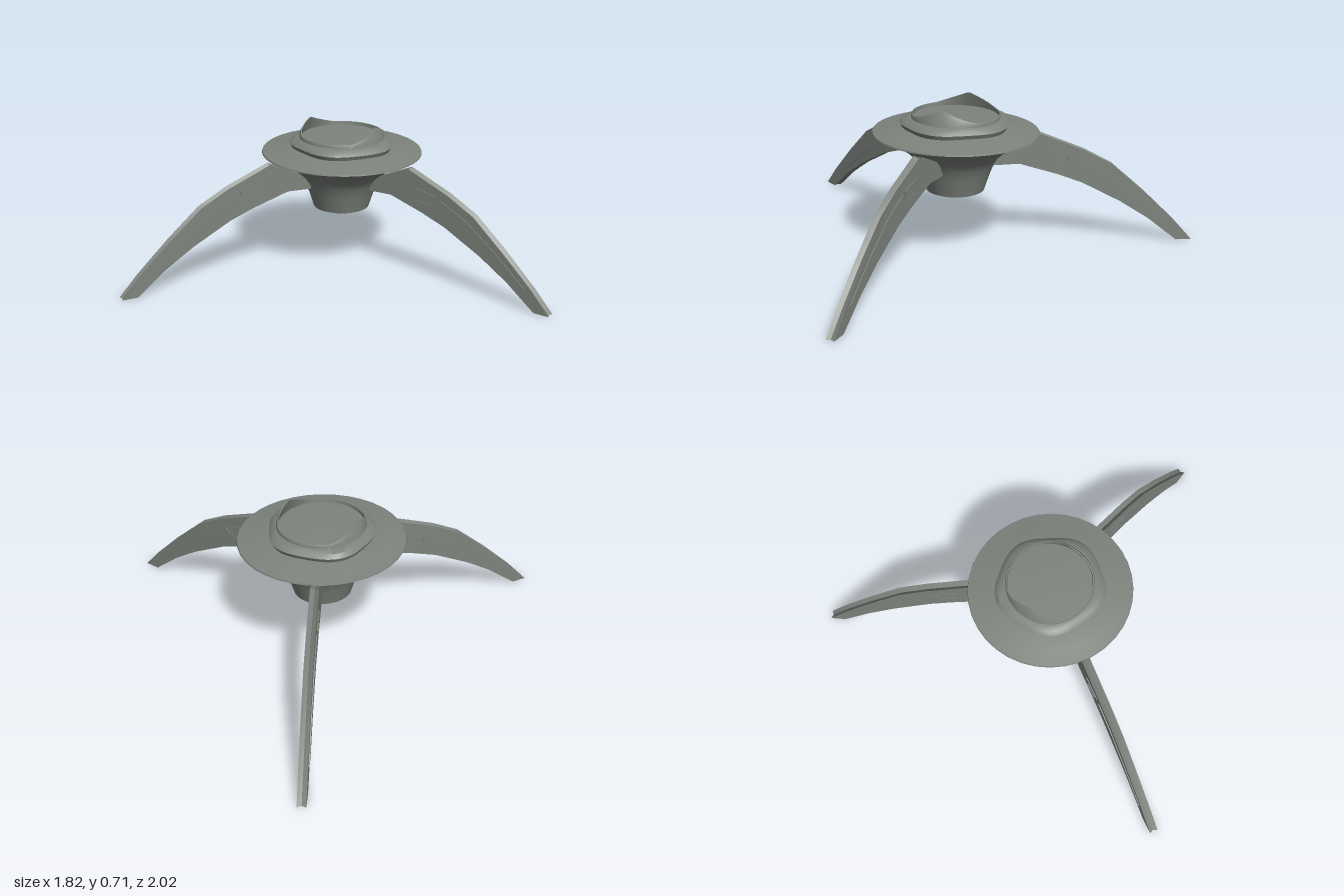
import * as THREE from 'three';
import { toCreasedNormals } from 'three/addons/utils/BufferGeometryUtils.js';

const hull = new THREE.MeshStandardMaterial({ color: 0x7e847d, side: THREE.DoubleSide });
hull.name = 'greyGreenHull';

// Surface through rows of closed cross-sections; point(row, column) gives [x, y, z]
function loft(rows, cols, point, crease = 0.6) {
  const pos = [], index = [];
  for (let i = 0; i < rows; i++)
    for (let j = 0; j < cols; j++) pos.push(...point(i, j));
  for (let i = 0; i < rows - 1; i++)
    for (let j = 0; j < cols; j++) {
      const a = i * cols + j, b = i * cols + (j + 1) % cols;
      index.push(a, a + cols, b, b, a + cols, b + cols);
    }
  const g = new THREE.BufferGeometry();
  g.setAttribute('position', new THREE.Float32BufferAttribute(pos, 3));
  g.setIndex(index);
  return toCreasedNormals(g, crease);
}

function part(name, geometry) {
  const m = new THREE.Mesh(geometry, hull);
  m.name = name;
  return m;
}

function lathe(name, profile) {
  const pts = profile.map(([r, y]) => new THREE.Vector2(r, y));
  return part(name, toCreasedNormals(new THREE.LatheGeometry(pts, 36), 0.5));
}

// Turned surface whose rows are functions of the angle returning [radius, height]
function ringSurface(name, rows) {
  const n = 72;
  return part(name, loft(rows.length, n, (i, j) => {
    const a = j / n * Math.PI * 2, [r, y] = rows[i](a);
    return [r * Math.cos(a), y, r * Math.sin(a)];
  }));
}

// Height of the two opposite pointed crests, 0 to 1
function crest(a) {
  const d = Math.abs(((a - 1.08) % Math.PI + Math.PI * 1.5) % Math.PI - Math.PI / 2);
  return Math.pow(Math.max(0, 1 - d / 0.85), 1.2);
}

// Matching upper and lower edge points of a leg: [distance, height]
const upper = [[0.2, 0.47], [0.39, 0.553], [0.605, 0.465], [0.745, 0.39], [0.905, 0.25], [1.06, 0.1], [1.15, 0]];
const lower = [[0.16, 0.4], [0.3, 0.405], [0.48, 0.35], [0.6, 0.305], [0.79, 0.205], [0.93, 0.115], [1.075, 0]];

function between(i, t) {
  return [0, 1].map(k => lower[i][k] + (upper[i][k] - lower[i][k]) * t);
}

function plate(name, points) {
  const shape = new THREE.Shape(points.map(p => new THREE.Vector2(...p)));
  return part(name, new THREE.ExtrudeGeometry(shape, { depth: 0.005, bevelEnabled: false }));
}

function createLeg(angle) {
  const leg = new THREE.Group();
  leg.name = 'leg';
  const w = 0.02;
  // cross-section with a shallow groove along both edges: [t, sideways]
  const section = [[1, w], [0.88, 0], [1, -w], [0, -w], [0.12, 0], [0, w]];
  const n = upper.length;
  leg.add(part('legBeam', loft(n + 2, 6, (i, j) => {
    const s = Math.min(Math.max(i - 1, 0), n - 1);
    const cap = i === 0 || i === n + 1;
    const [t, z] = cap ? [0.5, 0] : section[j];
    const [x, y] = between(s, t);
    return [x, y, z];
  }, 0.4)));

  // panels on both flanks
  for (const side of [1, -1]) {
    const stations = [2, 3, 4, 5];
    const strip = [...stations.map(i => between(i, 0.72)),
      ...stations.slice().reverse().map(i => between(i, 0.35))];
    const bracket = [[0.44, 0.47], [0.55, 0.445], [0.535, 0.385], [0.45, 0.4],
      [0.45, 0.41], [0.525, 0.397], [0.535, 0.438], [0.44, 0.459]];
    for (const p of [plate('flankPanel', strip), plate('flankBracket', bracket)]) {
      p.position.z = side > 0 ? w - 0.001 : -w - 0.004;
      leg.add(p);
    }
  }
  leg.rotation.y = -THREE.MathUtils.degToRad(angle);
  return leg;
}

export function createModel() {
  const model = new THREE.Group();
  model.name = 'threeLeggedStation';
  const station = new THREE.Group();
  station.name = 'station';
  station.position.set(0.245, 0, -0.05);
  model.add(station);

  // flared funnel and wide saucer
  station.add(lathe('funnel', [[0, 0.283], [0.125, 0.283], [0.137, 0.288], [0.15, 0.33], [0.165, 0.375],
    [0.182, 0.42], [0.205, 0.455], [0.24, 0.488], [0.29, 0.52], [0.34, 0.545], [0.39, 0.563]]));
  station.add(lathe('saucerTop', [[0.39, 0.563], [0.388, 0.57], [0.32, 0.58], [0.26, 0.592], [0, 0.6]]));

  // uneven collar above the saucer
  const wave = a => 0.008 * Math.cos(5 * a + 0.6) + 0.005 * Math.cos(2 * a + 2.5);
  station.add(ringSurface('collar', [
    a => [0.24 + wave(a), 0.588],
    a => [0.252 + wave(a), 0.612],
    a => [0.235 + wave(a), 0.63],
    () => [0.21, 0.638],
    () => [0.195, 0.638],
  ]));

  // dish with two pointed crests
  station.add(ringSurface('crestedRim', [
    () => [0.208, 0.63],
    a => [0.208 - 0.012 * crest(a), 0.65 + 0.025 * crest(a)],
    a => [0.205 - 0.027 * crest(a), 0.655 + 0.056 * crest(a)],
    a => [0.2 - 0.025 * crest(a), 0.655 + 0.055 * crest(a)],
    () => [0.198, 0.635],
  ]));
  station.add(lathe('dishFloor', [[0.2, 0.638], [0.1, 0.642], [0, 0.643]]));

  // three arched legs
  for (const angle of [67, 185, -55]) station.add(createLeg(angle));
  return model;
}
